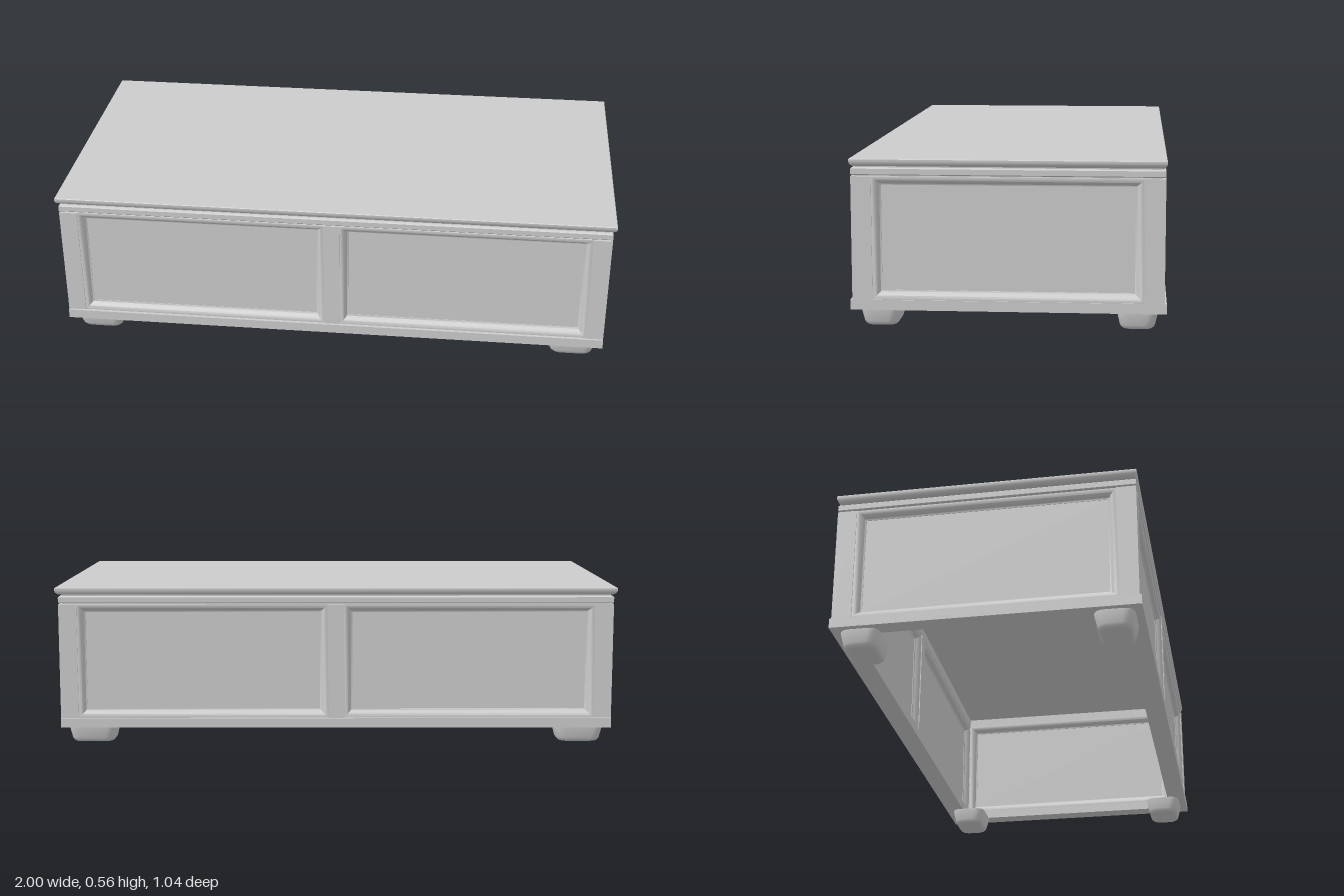
import * as THREE from 'three';
import { toCreasedNormals } from 'three/addons/utils/BufferGeometryUtils.js';

const paint = new THREE.MeshStandardMaterial({ color: 0xcccccc });
paint.name = 'light grey paint';

// Rectangle outline, counter-clockwise from above, with optional rounded corners
function outline([hx, hz, y, r = 0]) {
  const pts = [];
  const n = r ? 5 : 0;
  [[1, 1], [-1, 1], [-1, -1], [1, -1]].forEach(([sx, sz], q) => {
    for (let i = 0; i <= n; i++) {
      const a = (q + (n ? i / n : 0)) * Math.PI / 2;
      const px = sx * (hx - r) + r * Math.cos(a);
      const pz = sz * (hz - r) + r * Math.sin(a);
      pts.push(r ? [px, y, -pz] : [sx * hx, y, -sz * hz]);
    }
  });
  return pts;
}

// Lofts rectangles [halfX, halfZ, y, radius]; a closed profile makes a mitred ring
function rectLoft(levels, closed = false) {
  const rings = levels.map(outline), pos = [];
  const n = rings[0].length;
  const tri = (a, b, c) => pos.push(...a, ...b, ...c);
  for (let i = 0; i < rings.length - (closed ? 0 : 1); i++) {
    const lo = rings[i], hi = rings[(i + 1) % rings.length];
    for (let j = 0; j < n; j++) {
      const k = (j + 1) % n;
      tri(lo[j], lo[k], hi[k]);
      tri(lo[j], hi[k], hi[j]);
    }
  }
  if (!closed) {
    const bottom = rings[0], top = rings[rings.length - 1];
    for (let j = 1; j < n - 1; j++) {
      tri(top[0], top[j], top[j + 1]);
      tri(bottom[0], bottom[j + 1], bottom[j]);
    }
  }
  const geo = new THREE.BufferGeometry();
  geo.setAttribute('position', new THREE.Float32BufferAttribute(pos, 3));
  return toCreasedNormals(geo, 0.7);
}

function add(parent, name, geo, x = 0, y = 0, z = 0) {
  const mesh = new THREE.Mesh(geo, paint);
  mesh.name = name;
  mesh.position.set(x, y, z);
  parent.add(mesh);
  return mesh;
}

// Recessed panel with a rounded mitred moulding on both faces, facing +z
function framedPanel(name, width, height) {
  const group = new THREE.Group();
  group.name = name;
  const half = [[0, 0.03], [0.006, 0.031], [0.014, 0.027], [0.021, 0.02], [0.025, 0.012], [0.03, 0.01], [0.03, 0.006]];
  const profile = [...half, ...half.map(([i, d]) => [i, -d]).reverse()];
  const levels = profile.map(([inset, d]) => [width / 2 - inset, height / 2 - inset, d]);
  add(group, 'panelMoulding', rectLoft(levels, true).rotateX(Math.PI / 2));
  add(group, 'panelBoard', new THREE.BoxGeometry(width - 0.05, height - 0.05, 0.016));
  return group;
}

export function createModel() {
  const model = new THREE.Group();
  model.name = 'coffeeTable';
  const y0 = 0.095, y1 = 0.506, h = y1 - y0, mid = (y0 + y1) / 2;

  // Table top with a rounded lower edge
  add(model, 'tableTop', rectLoft([
    [0.978, 0.498, 0.539], [0.987, 0.506, 0.54], [0.993, 0.512, 0.544],
    [0.998, 0.516, 0.55], [1, 0.518, 0.557], [1, 0.518, 0.563], [0.998, 0.516, 0.565],
  ]));

  // Cornice ring under the top, with narrow grooves above and below
  add(model, 'cornice', rectLoft([
    [0.978, 0.503, 0.503], [0.978, 0.503, 0.509], [0.985, 0.511, 0.51], [0.988, 0.514, 0.513],
    [0.988, 0.514, 0.531], [0.985, 0.511, 0.534], [0.976, 0.501, 0.535], [0.976, 0.501, 0.54],
    [0.925, 0.448, 0.54], [0.925, 0.448, 0.503],
  ], true));

  // Base rail ring
  add(model, 'baseRail', rectLoft([
    [0.988, 0.521, 0.061], [0.988, 0.521, y0], [0.925, 0.448, y0], [0.925, 0.448, 0.061],
  ], true));

  // Corner posts and tapered, rounded feet
  const postGeo = new THREE.BoxGeometry(0.064, h, 0.067);
  const footGeo = rectLoft([
    [0.062, 0.042, 0, 0.025], [0.07, 0.05, 0.002, 0.03], [0.076, 0.056, 0.008, 0.034],
    [0.079, 0.059, 0.016, 0.035], [0.088, 0.068, 0.058, 0.035], [0.088, 0.068, 0.061, 0.035],
  ]);
  for (const sx of [-1, 1]) {
    for (const sz of [-1, 1]) {
      add(model, 'cornerPost', postGeo, sx * 0.956, mid, sz * 0.4805);
      add(model, 'foot', footGeo, sx * 0.879, 0, sz * 0.426);
    }
  }

  // Two panels and a centre stile on the front and back
  for (const sz of [-1, 1]) {
    add(model, 'centreStile', new THREE.BoxGeometry(0.056, h, 0.066), 0, mid, sz * 0.48);
    for (const sx of [-1, 1]) {
      const panel = framedPanel(sz > 0 ? 'frontPanel' : 'backPanel', 0.897, h);
      panel.position.set(sx * 0.4765, mid, sz * 0.48);
      model.add(panel);
    }
  }

  // One wide panel on each end
  for (const sx of [-1, 1]) {
    const panel = framedPanel('endPanel', 0.894, h);
    panel.rotation.y = Math.PI / 2;
    panel.position.set(sx * 0.955, mid, 0);
    model.add(panel);
  }
  return model;
}
